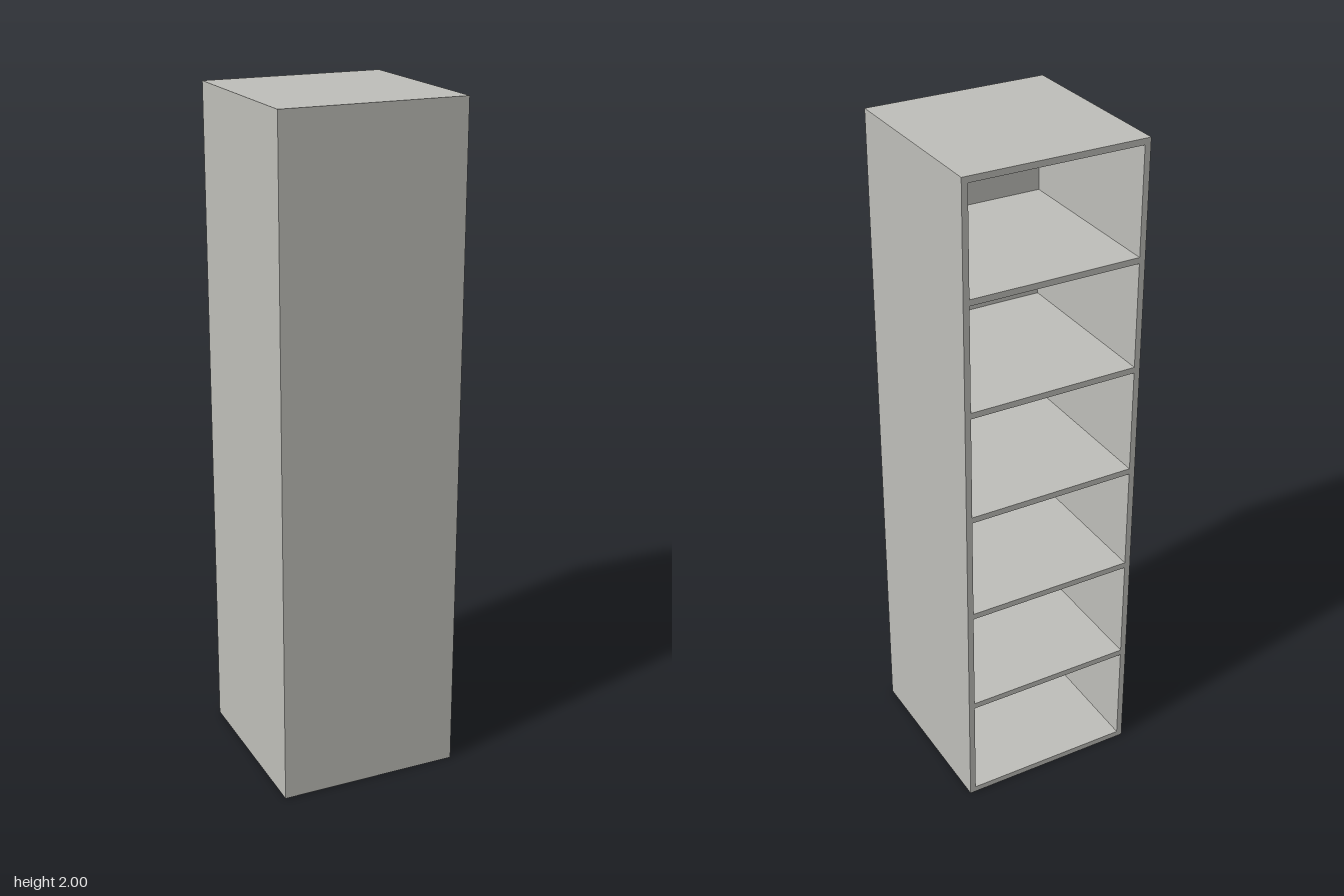
import * as THREE from 'three';

const WIDTH = 0.545, HEIGHT = 2, DEPTH = 0.545, BOARD = 0.018, BAYS = 6;

export function createModel() {
  const model = new THREE.Group();
  model.name = 'shelfUnit';
  const greyBoard = new THREE.MeshStandardMaterial({ color: 0xc0c0bb });
  greyBoard.name = 'greyBoard';

  function board(name, w, h, d, x, y, z) {
    const mesh = new THREE.Mesh(new THREE.BoxGeometry(w, h, d), greyBoard);
    mesh.name = name;
    mesh.position.set(x, y, z);
    model.add(mesh);
  }

  // Top and bottom boards cover the whole footprint
  board('bottomBoard', WIDTH, BOARD, DEPTH, 0, BOARD / 2, 0);
  board('topBoard', WIDTH, BOARD, DEPTH, 0, HEIGHT - BOARD / 2, 0);

  // Side walls stand between them
  const innerHeight = HEIGHT - 2 * BOARD;
  for (const [name, side] of [['leftWall', 1], ['rightWall', -1]]) {
    board(name, BOARD, innerHeight, DEPTH, side * (WIDTH - BOARD) / 2, HEIGHT / 2, 0);
  }

  // Closed front panel; the compartments open towards the back
  const innerWidth = WIDTH - 2 * BOARD;
  board('frontPanel', innerWidth, innerHeight, BOARD, 0, HEIGHT / 2, (DEPTH - BOARD) / 2);

  // Evenly spaced shelves
  const pitch = (HEIGHT - BOARD) / BAYS;
  for (let i = 1; i < BAYS; i++) {
    board('shelf' + i, innerWidth, BOARD, DEPTH - BOARD, 0, BOARD / 2 + i * pitch, -BOARD / 2);
  }
  return model;
}
